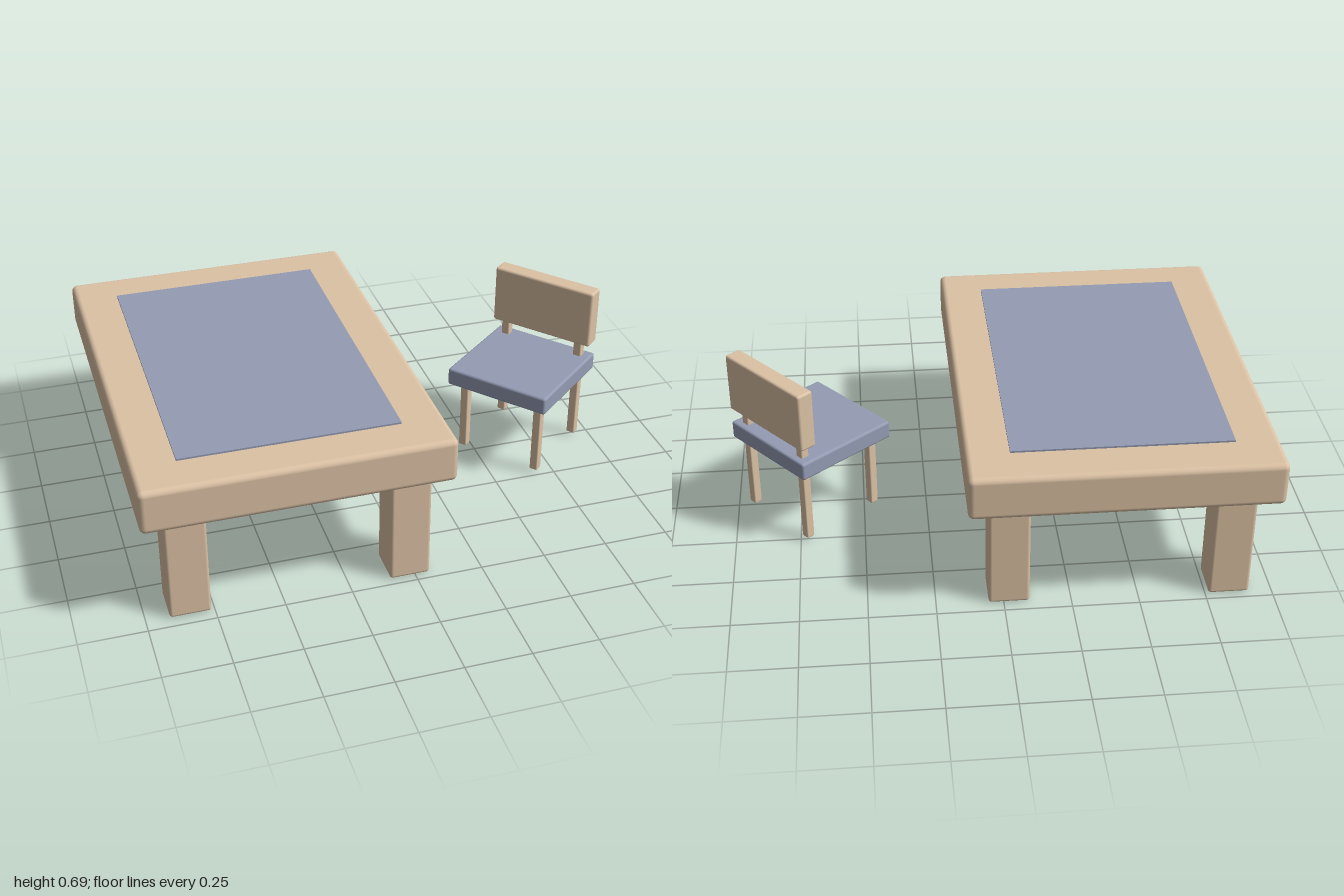
import * as THREE from 'three';
import { RoundedBoxGeometry } from 'three/addons/geometries/RoundedBoxGeometry.js';

const wood = new THREE.MeshStandardMaterial({ color: 0xdcc2a5 });
const blue = new THREE.MeshStandardMaterial({ color: 0x949cb4 });

// Rounded block given by its size, centre and bottom height
function block(name, material, [w, h, d], [x, bottom, z], radius) {
  const mesh = new THREE.Mesh(new RoundedBoxGeometry(w, h, d, 3, radius), material);
  mesh.name = name;
  mesh.position.set(x, bottom + h / 2, z);
  return mesh;
}

function createTable() {
  const table = new THREE.Group();
  table.name = 'table';
  table.add(block('tableTop', wood, [1.135, 0.172, 1.555], [-0.433, 0.43, -0.003], 0.022));

  // Thin inlaid panel on the top
  const panel = new THREE.Mesh(new THREE.BoxGeometry(0.81, 0.02, 1.23), blue);
  panel.name = 'tablePanel';
  panel.position.set(-0.432, 0.599, -0.002);
  table.add(panel);

  // Four thick legs, very slightly out of line with each other
  for (const [x, z] of [[-0.838, 0.63], [-0.838, -0.645], [-0.02, 0.645], [-0.02, -0.63]]) {
    table.add(block('tableLeg', wood, [0.152, 0.45, 0.152], [x, 0, z], 0.012));
  }
  return table;
}

// Chair built facing its own +z, then turned towards the table
function createChair() {
  const chair = new THREE.Group();
  chair.name = 'chair';
  chair.add(block('chairSeat', blue, [0.437, 0.073, 0.437], [0, 0.315, 0], 0.01));
  chair.add(block('chairBack', wood, [0.437, 0.24, 0.07], [0, 0.445, -0.1835], 0.01));

  for (const x of [-0.165, 0.165]) {
    chair.add(block('chairFrontLeg', wood, [0.034, 0.32, 0.034], [x, 0.015, 0.155], 0.005));
    // Rear legs run up through the seat to carry the back
    chair.add(block('chairRearLeg', wood, [0.034, 0.46, 0.034], [x, 0.015, -0.175], 0.005));
  }
  chair.position.set(0.692, 0, -0.007);
  chair.rotation.y = -0.874;
  return chair;
}

export function createModel() {
  const model = new THREE.Group();
  model.name = 'tableAndChair';
  model.add(createTable(), createChair());
  return model;
}
